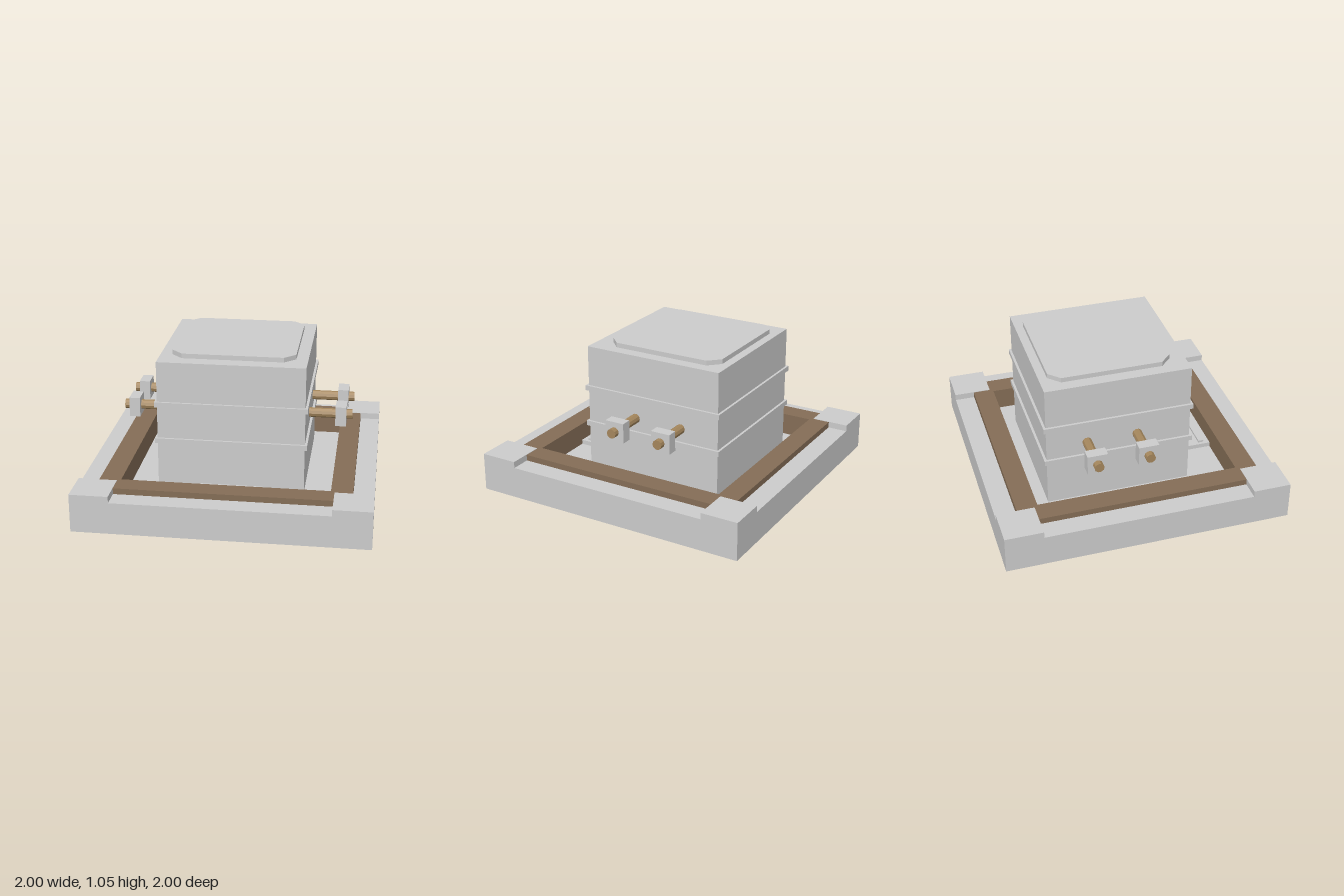
import * as THREE from 'three';

const grey = new THREE.MeshStandardMaterial({ color: 0xcccccc, flatShading: true });
const timber = new THREE.MeshStandardMaterial({ color: 0x846d56, flatShading: true });
const bronze = new THREE.MeshStandardMaterial({ color: 0xa4865c, flatShading: true });

export function createModel() {
  const model = new THREE.Group();

  const add = (name, geometry, material = grey) => {
    const mesh = new THREE.Mesh(geometry, material);
    mesh.name = name;
    model.add(mesh);
    return mesh;
  };
  // Box given by its lower and upper limits on each axis
  const box = (name, [x0, x1], [y0, y1], [z0, z1], material) => {
    const g = new THREE.BoxGeometry(x1 - x0, y1 - y0, z1 - z0);
    g.translate((x0 + x1) / 2, (y0 + y1) / 2, (z0 + z1) / 2);
    return add(name, g, material);
  };
  // Flat outline extruded upwards
  const slab = (name, shape, y, height) => {
    const g = new THREE.ExtrudeGeometry(shape, { depth: height, bevelEnabled: false });
    g.rotateX(-Math.PI / 2);
    g.translate(0, y, 0);
    return add(name, g);
  };
  const square = (r, Type = THREE.Shape) =>
    new Type([[-r, -r], [r, -r], [r, r], [-r, r]].map(([x, y]) => new THREE.Vector2(x, y)));

  const floorY = 0.108, ledgeY = 0.225, rimY = 0.267, blockZ = -0.08;

  // Base: floor of the pit, surrounding ledge and raised corners
  box('baseFloor', [-1, 1], [0, floorY], [-1, 1]);
  const ring = square(1);
  ring.holes.push(square(0.725, THREE.Path));
  slab('baseLedge', ring, floorY, ledgeY - floorY);
  for (const sx of [-1, 1]) {
    for (const sz of [-1, 1]) {
      const corner = box('baseCorner', [-0.1325, 0.1325], [ledgeY, 0.27], [-0.1325, 0.1325]);
      corner.position.set(sx * 0.8675, 0, sz * 0.8675);
    }
  }

  // Timber beams lining the pit, crossing at the corners
  for (let i = 0; i < 4; i++) {
    const beam = box('timberBeam', [-0.735, 0.735], [floorY, rimY], [0.71, 0.858], timber);
    beam.rotation.y = i * Math.PI / 2;
  }

  // Main block with two raised bands
  box('mainBlock', [-0.51, 0.51], [floorY, 1.02], [blockZ - 0.51, blockZ + 0.51]);
  for (const y of [0.434, 0.699]) {
    box('band', [-0.527, 0.527], [y, y + 0.036], [blockZ - 0.527, blockZ + 0.527]);
  }

  // Lid with chamfered corners
  const r = 0.427, c = 0.35, points = [];
  for (const [x, y] of [[r, -c], [r, c], [c, r], [-c, r], [-r, c], [-r, -c], [-c, -r], [c, -r]]) {
    points.push(new THREE.Vector2(x, y));
  }
  slab('lid', new THREE.Shape(points), 1.02, 0.033).position.z = -0.103;

  // Threshold plate with two slats in front of the block
  box('thresholdPlate', [-0.222, 0.222], [floorY, 0.14], [0.42, 0.71]);
  for (const z of [0.502, 0.63]) {
    box('thresholdSlat', [-0.2, 0.2], [0.14, 0.155], [z, z + 0.038]);
  }

  // Side rods, each carrying a square clamp
  for (const side of [-1, 1]) {
    for (const z of [0.05, -0.305]) {
      const rod = new THREE.CylinderGeometry(0.034, 0.034, 0.325, 10);
      rod.rotateZ(Math.PI / 2);
      add('sideRod', rod, bronze).position.set(side * 0.6525, 0.565, z);
      const clamp = box('rodClamp', [-0.038, 0.038], [-0.07, 0.07], [-0.07, 0.07]);
      clamp.position.set(side * 0.736, 0.565, z);
    }
  }

  return model;
}
